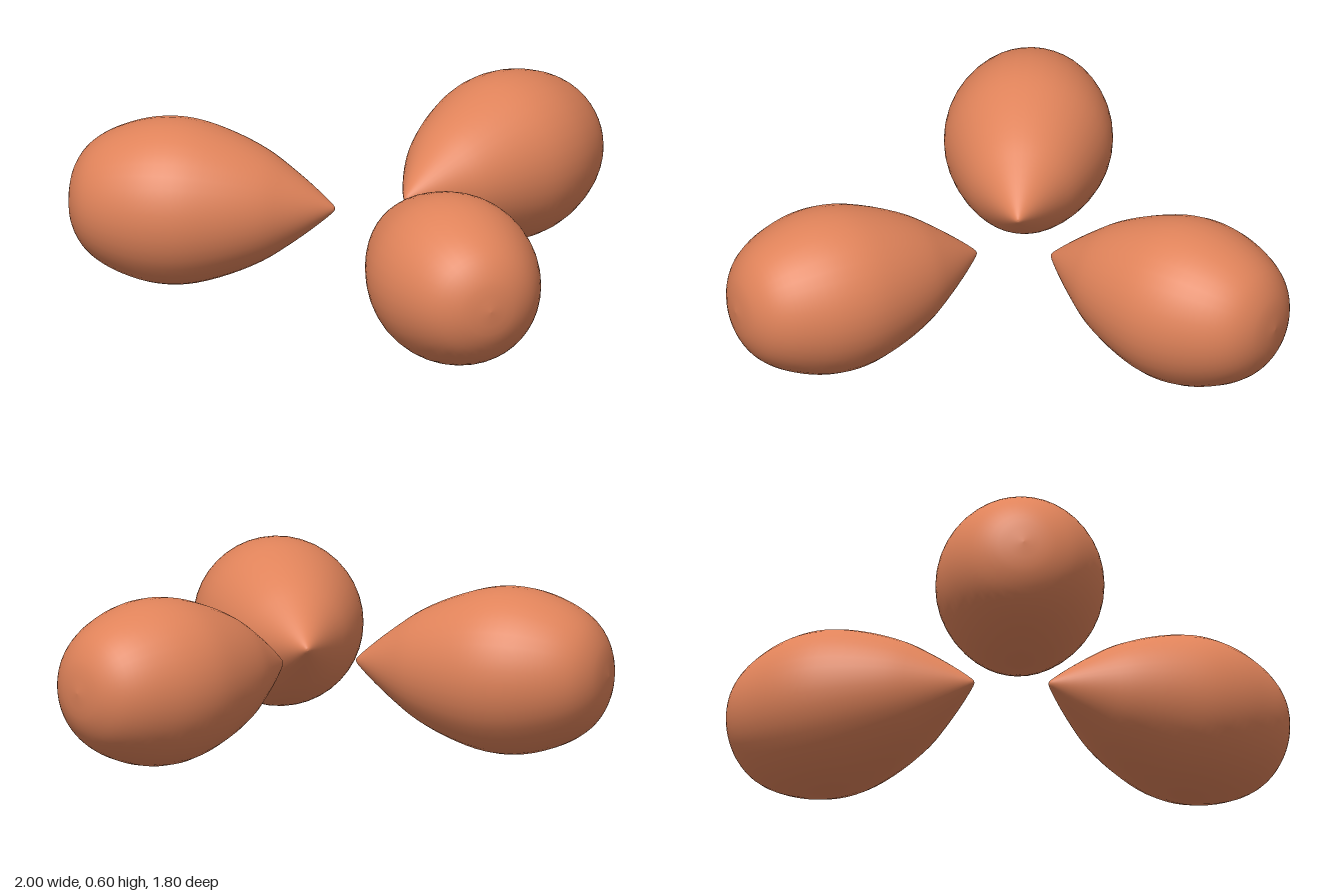
import * as THREE from 'three';

// Half outline of one lobe: [radius, distance from the tip]
const OUTLINE = [
  [0, 0], [0.016, 0.008], [0.078, 0.08], [0.144, 0.167], [0.199, 0.25],
  [0.25, 0.36], [0.288, 0.48], [0.299, 0.58], [0.288, 0.68], [0.255, 0.78],
  [0.212, 0.855], [0.16, 0.905], [0.09, 0.938], [0, 0.95],
];
const TIP_GAP = 0.155; // distance of each tip from the common centre

export function createModel() {
  const model = new THREE.Group();
  model.name = 'lobeTrio';
  const material = new THREE.MeshStandardMaterial({ color: 0xe0835a });

  // Teardrop turned about its axis, laid down to point along -z
  const curve = new THREE.SplineCurve(OUTLINE.map(([r, d]) => new THREE.Vector2(r, d)));
  const profile = curve.getPoints(39).map((p) => new THREE.Vector2(Math.max(0, p.x), p.y));
  profile[0].x = 0;
  profile[profile.length - 1].x = 0;
  const geometry = new THREE.LatheGeometry(profile, 40);
  geometry.translate(0, TIP_GAP, 0);
  geometry.rotateX(-Math.PI / 2);

  // Three equal lobes spread around the centre, tips inward
  ['backLobe', 'rightLobe', 'leftLobe'].forEach((name, i) => {
    const lobe = new THREE.Mesh(geometry, material);
    lobe.name = name;
    lobe.position.set(0, 0.3, 0.205);
    lobe.rotation.y = (i * Math.PI * 2) / 3;
    model.add(lobe);
  });
  return model;
}
